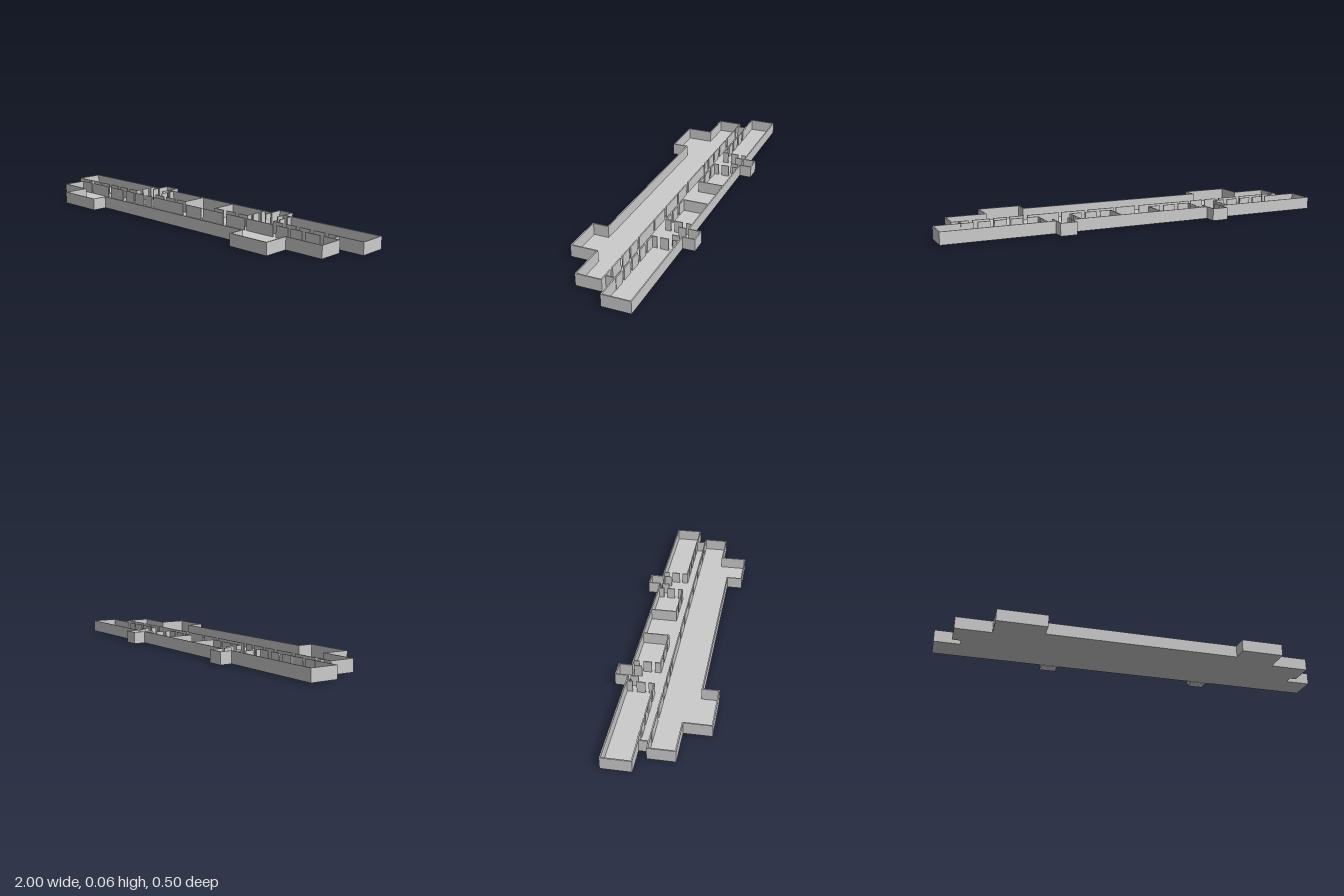
import * as THREE from 'three';

const H = 0.062; // wall top
const BASE = 0.001; // underside of floor and walls
const T = 0.006; // wall thickness

export function createModel() {
  const model = new THREE.Group();
  const material = new THREE.MeshStandardMaterial({ color: 0xcccccc, flatShading: true });

  const box = (parent, name, x0, x1, y0, y1, z0, z1) => {
    const mesh = new THREE.Mesh(new THREE.BoxGeometry(x1 - x0, y1 - y0, z1 - z0), material);
    mesh.position.set((x0 + x1) / 2, (y0 + y1) / 2, (z0 + z1) / 2);
    mesh.name = name;
    parent.add(mesh);
  };

  // Wall between two plan points, along x or z
  const wall = (parent, name, xa, za, xb, zb) => {
    const h = T / 2;
    box(parent, name, Math.min(xa, xb) - h, Math.max(xa, xb) + h, BASE, H,
      Math.min(za, zb) - h, Math.max(za, zb) + h);
  };

  const section = (name) => {
    const g = new THREE.Group();
    g.name = name;
    model.add(g);
    return g;
  };

  // Stepped floor plan as [x, z] corners
  const e = T / 2;
  const plan = [
    [-1 + e, -0.187], [1 - e, -0.187], [1 - e, -0.053], [0.868, -0.053], [0.868, -0.005],
    [0.902, -0.005], [0.902, 0.117], [0.705, 0.117], [0.705, 0.248], [0.495, 0.248],
    [0.495, 0.17], [-0.49, 0.17], [-0.49, 0.248], [-0.73, 0.248], [-0.73, 0.117],
    [-0.91, 0.117], [-0.91, -0.005], [-0.868, -0.005], [-0.868, -0.053], [-1 + e, -0.053],
  ];
  const shape = new THREE.Shape(plan.map(([x, z]) => new THREE.Vector2(x, -z)));
  const floorGeo = new THREE.ExtrudeGeometry(shape, { depth: 0.002, bevelEnabled: false });
  floorGeo.rotateX(-Math.PI / 2);
  floorGeo.translate(0, BASE, 0);
  const floor = new THREE.Mesh(floorGeo, material);
  floor.name = 'floor';
  model.add(floor);

  // Outer walls; the back wall opens at the two stairwells
  const outer = section('outerWalls');
  for (let i = 1; i < plan.length; i++) {
    wall(outer, 'outerWall', ...plan[i], ...plan[(i + 1) % plan.length]);
  }
  const stairs = [[-0.445, -0.367], [0.375, 0.452]];
  const backEnds = [-1 + e, ...stairs.flat(), 1 - e];
  for (let i = 0; i < backEnds.length; i += 2) {
    wall(outer, 'backWall', backEnds[i], -0.187, backEnds[i + 1], -0.187);
  }

  // Stairwells: side walls, end wall and shallow steps
  for (const [x0, x1] of stairs) {
    const well = section('stairwell');
    for (const x of [x0, x1]) {
      wall(well, 'stairSideWall', x, -0.248, x, -0.187);
      wall(well, 'stairInnerWall', x, -0.172, x, -0.14);
    }
    wall(well, 'stairEndWall', x0, -0.248, x1, -0.248);
    const n = 6;
    for (let i = 0; i < n; i++) {
      const z = -0.25 + i * 0.01;
      box(well, 'step', x0, x1, 0, 0.0015 + i * 0.0004, z, z + 0.01);
    }
  }

  // Partition pieces separated by door openings, given as [start, end] in x
  const corridor = section('corridorWalls');
  const frontPieces = [
    [-0.868, -0.83], [-0.81, -0.68], [-0.65, -0.55], [-0.52, -0.46], [-0.44, -0.375],
    [-0.355, -0.31], [-0.29, -0.07], [-0.04, 0.06], [0.08, 0.215], [0.24, 0.355],
    [0.375, 0.53], [0.555, 0.62], [0.64, 0.70], [0.725, 0.80], [0.825, 0.868],
  ];
  for (const [a, b] of frontPieces) wall(corridor, 'frontPartition', a, -0.005, b, -0.005);

  // Evenly spaced pieces between two ends along the back of the corridor
  const runs = [[-0.868, -0.49, 5], [-0.33, -0.10, 3], [0.115, 0.33, 3], [0.495, 0.868, 5]];
  const gap = 0.026;
  for (const [a, b, n] of runs) {
    const len = (b - a - gap * (n - 1)) / n;
    for (let i = 0; i < n; i++) {
      const x = a + i * (len + gap);
      wall(corridor, 'backPartition', x, -0.055, x + len, -0.055);
    }
  }

  // Cross walls of the back rooms: solid around the middle, with doors at the stair halls
  const rooms = section('roomWalls');
  for (const x of [-0.10, 0.115]) wall(rooms, 'crossWall', x, -0.187, x, -0.055);
  for (const x of [-0.487, -0.33, 0.33, 0.495]) {
    for (const [a, b] of [[-0.187, -0.16], [-0.135, -0.1], [-0.078, -0.055]]) {
      wall(rooms, 'stairHallWall', x, a, x, b);
    }
  }
  return model;
}
